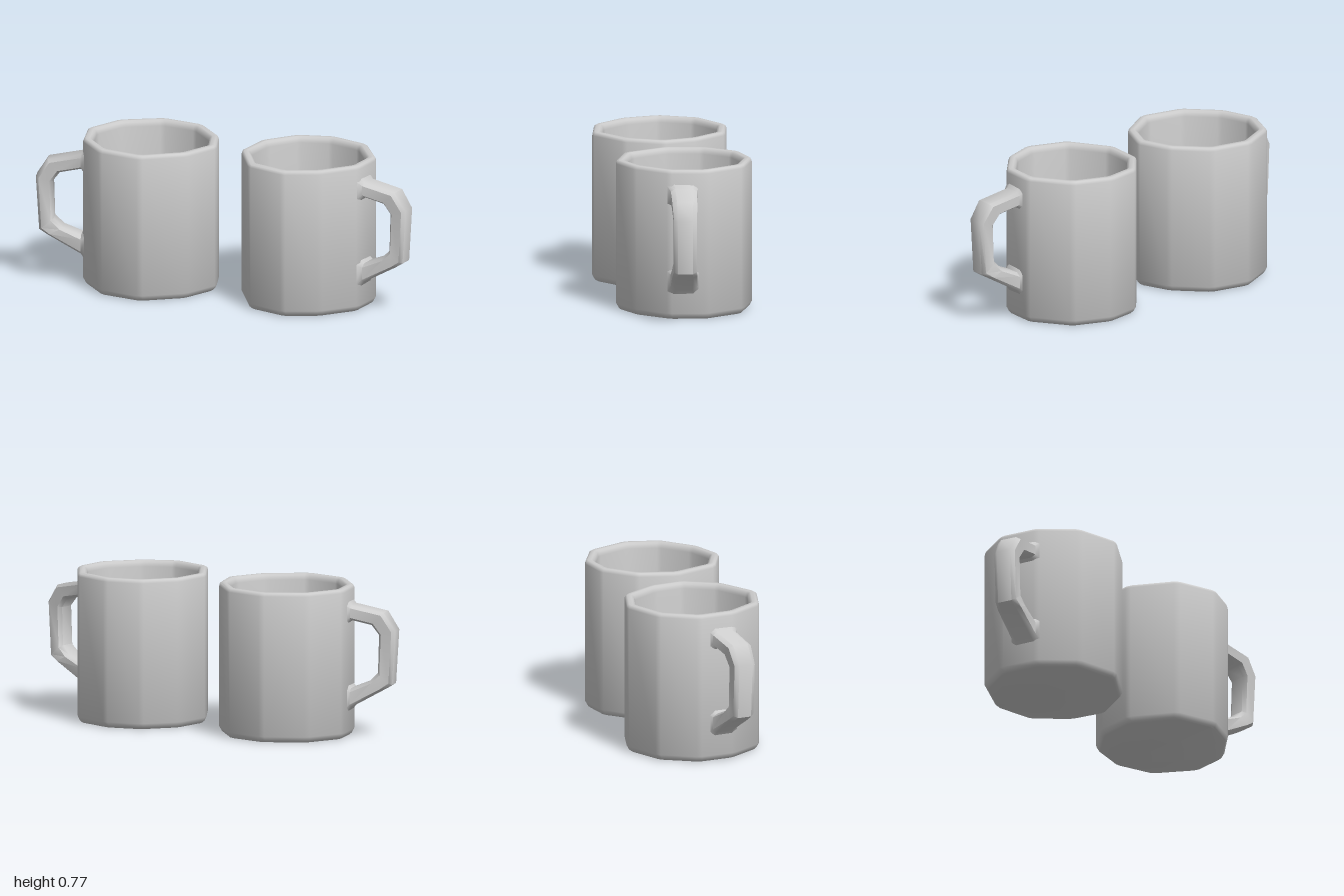
import * as THREE from 'three';
import { toCreasedNormals } from 'three/addons/utils/BufferGeometryUtils.js';

// Skin a list of closed rings (arrays of [x, y, z]); both ends are closed with a fan.
function loft(rings, crease) {
  const n = rings[0].length;
  const pos = rings.flat(2);
  const index = [];
  for (let j = 0; j < rings.length - 1; j++) {
    for (let i = 0; i < n; i++) {
      const k = (i + 1) % n;
      const a = j * n + i, b = (j + 1) * n + i, c = (j + 1) * n + k, d = j * n + k;
      index.push(a, b, c, a, c, d);
    }
  }
  const last = (rings.length - 1) * n;
  for (let i = 1; i < n - 1; i++) {
    index.push(0, i, i + 1);
    index.push(last, last + i + 1, last + i);
  }
  const geometry = new THREE.BufferGeometry();
  geometry.setAttribute('position', new THREE.Float32BufferAttribute(pos, 3));
  geometry.setIndex(index);
  return toCreasedNormals(geometry, crease);
}

// Cut each corner of an outline a little, so the edges shade softly.
function chamfer(points, t) {
  const n = points.length;
  const mix = (p, q) => [p[0] + (q[0] - p[0]) * t, p[1] + (q[1] - p[1]) * t];
  return points.flatMap((p, i) => [mix(p, points[(i + n - 1) % n]), mix(p, points[(i + 1) % n])]);
}

// Cup wall from outer bottom, over the rim, down to the inner floor: [height, scale].
const CUP_PROFILE = [
  [0, 0.94], [0.008, 0.965], [0.03, 1], [0.752, 1], [0.765, 0.985], [0.77, 0.96],
  [0.77, 0.9], [0.762, 0.865], [0.74, 0.85], [0.05, 0.84],
];

function cupGeometry(outline, [cx, cz]) {
  const points = chamfer(outline, 0.07);
  return loft(CUP_PROFILE.map(([y, s]) =>
    points.map(([x, z]) => [(x - cx) * s, y, (z - cz) * s])), 0.9);
}

// Handle sections: outer radius, outer y, inner radius, inner y, half width.
const HANDLE_SECTIONS = [
  [0.32, 0.725, 0.32, 0.56, 0.09],
  [0.355, 0.678, 0.355, 0.602, 0.066],
  [0.528, 0.645, 0.464, 0.58, 0.064],
  [0.587, 0.553, 0.502, 0.53, 0.058],
  [0.57, 0.275, 0.496, 0.334, 0.058],
  [0.53, 0.25, 0.45, 0.288, 0.064],
  [0.355, 0.152, 0.355, 0.25, 0.068],
  [0.32, 0.1, 0.32, 0.29, 0.09],
];

function handleGeometry() {
  const c = 0.65;
  const octagon = [[1, c], [1, -c], [c, -1], [-c, -1], [-1, -c], [-1, c], [-c, 1], [c, 1]];
  return loft(HANDLE_SECTIONS.map(([ro, yo, ri, yi, half]) =>
    octagon.map(([u, w]) => {
      const t = (u + 1) / 2;
      return [ri + (ro - ri) * t, yi + (yo - yi) * t, w * half];
    })), 0.9);
}

const MUGS = [
  {
    name: 'leftMug', center: [0.41, -0.045], angle: 0, shift: 0.012,
    outline: [[0.393, -0.396], [0.605, -0.345], [0.755, -0.15], [0.75, 0.04], [0.615, 0.215],
      [0.447, 0.303], [0.227, 0.255], [0.077, 0.04], [0.087, -0.168], [0.21, -0.337]],
  },
  {
    name: 'rightMug', center: [-0.43, 0.045], angle: 159.5, shift: 0,
    outline: [[-0.527, -0.301], [-0.302, -0.285], [-0.134, -0.136], [-0.062, 0.037], [-0.134, 0.235],
      [-0.324, 0.392], [-0.562, 0.374], [-0.73, 0.225], [-0.798, 0.037], [-0.725, -0.168]],
  },
];

export function createModel() {
  const model = new THREE.Group();
  model.name = 'mugs';
  const ceramic = new THREE.MeshStandardMaterial({ color: 0xcccccc });
  ceramic.name = 'ceramic';

  for (const { name, center, angle, shift, outline } of MUGS) {
    const mug = new THREE.Group();
    mug.name = name;
    mug.position.set(center[0], 0, center[1]);

    const cup = new THREE.Mesh(cupGeometry(outline, center), ceramic);
    cup.name = 'cup';

    const handle = new THREE.Mesh(handleGeometry(), ceramic);
    handle.name = 'handle';
    handle.rotation.y = -THREE.MathUtils.degToRad(angle);
    handle.position.z = shift;

    mug.add(cup, handle);
    model.add(mug);
  }
  return model;
}
